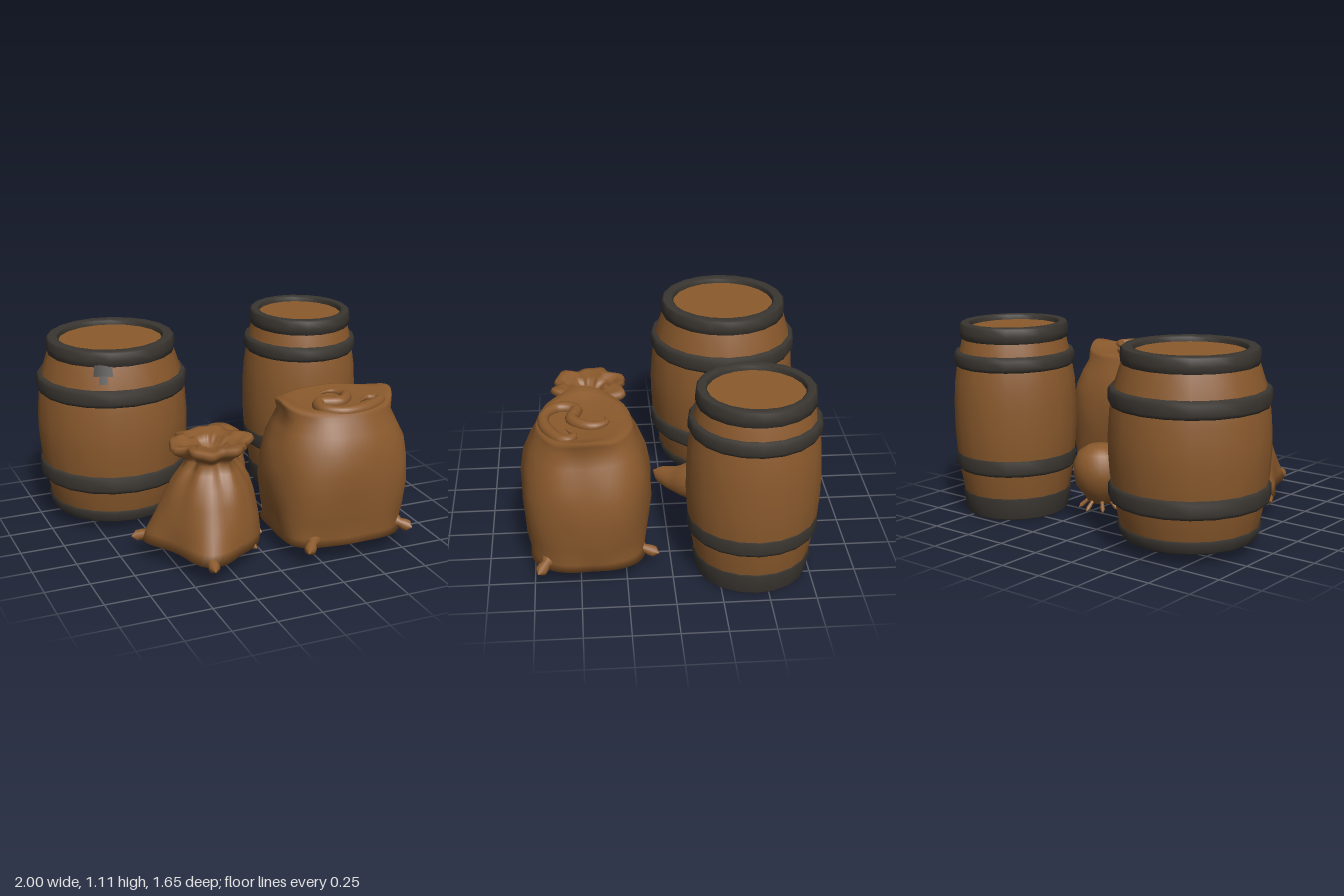
import * as THREE from 'three';

const wood = new THREE.MeshStandardMaterial({ color: 0x8b5a2d, side: THREE.DoubleSide });
wood.name = 'brown';
const iron = new THREE.MeshStandardMaterial({ color: 0x3a3631, side: THREE.DoubleSide });
iron.name = 'dark iron';

const V = (x, y, z) => new THREE.Vector3(x, y, z);

function add(parent, name, geometry, material) {
  const mesh = new THREE.Mesh(geometry, material);
  mesh.name = name;
  parent.add(mesh);
  return mesh;
}

// Revolved profile of [radius, height] pairs
function lathe(profile, start = 0, length = Math.PI * 2, sides = 20) {
  return new THREE.LatheGeometry(profile.map(p => new THREE.Vector2(...p)), sides, start, length);
}

// Closed skin through rings; at(level, angle) gives each point
function loft(levels, at, sides = 72) {
  const pos = [], index = [];
  levels.forEach((level, i) => {
    for (let j = 0; j < sides; j++) {
      pos.push(...at(level, j / sides * Math.PI * 2));
      if (i === levels.length - 1) continue;
      const a = i * sides + j, b = i * sides + (j + 1) % sides;
      index.push(a, a + sides, b, b, a + sides, b + sides);
    }
  });
  const g = new THREE.BufferGeometry();
  g.setAttribute('position', new THREE.Float32BufferAttribute(pos, 3));
  g.setIndex(index);
  g.computeVertexNormals();
  return g;
}

// Round strand whose thickness follows the list of radii; flat squashes its height
function strand(points, radii, seg = 20) {
  const curve = new THREE.CatmullRomCurve3(points);
  const g = new THREE.TubeGeometry(curve, seg, 1, 14);
  const p = g.attributes.position, v = V();
  for (let i = 0; i < p.count; i++) {
    const t = Math.floor(i / 15) / seg, f = t * (radii.length - 1);
    const k = Math.min(Math.floor(f), radii.length - 2);
    const r = THREE.MathUtils.lerp(radii[k], radii[k + 1], f - k);
    const c = curve.getPointAt(t);
    v.fromBufferAttribute(p, i).sub(c).multiplyScalar(r).add(c);
    p.setXYZ(i, v.x, v.y, v.z);
  }
  return g;
}

// Gathered sack corner, from the body out to a flared tip
function corner(parent, from, to, size) {
  const mid = from.clone().lerp(to, 0.6);
  add(parent, 'sackCorner', strand([from, mid, to],
    [size * 1.9, size * 1.2, size * 0.7, size * 0.9, size * 0.9, 0.001]), wood);
}

function barrel(name, { x, z, y0, y1, stretch, rim, foot, lid, hoopR, staves, hoops, feet }) {
  const group = new THREE.Group();
  group.name = name;
  group.position.set(x, 0, z);
  group.scale.z = stretch;
  // staves with bulging sides, then the two recessed heads
  add(group, 'staves', lathe(staves), wood);
  add(group, 'lid', lathe([[lid + 0.02, y1 - 0.03], [0.001, y1 - 0.03]]), wood);
  add(group, 'base', lathe([[0.001, y0 + 0.03], [foot - 0.05, y0 + 0.03]]), wood);
  // end bands
  add(group, 'topBand', lathe([[rim - 0.02, y1 - 0.1], [rim, y1 - 0.085], [rim + 0.004, y1 - 0.05],
    [rim, y1 - 0.008], [rim - 0.01, y1], [lid + 0.01, y1], [lid, y1 - 0.008], [lid, y1 - 0.04]]), iron);
  add(group, 'bottomBand', lathe([[foot - 0.06, y0 + 0.04], [foot - 0.055, y0], [foot - 0.01, y0],
    [foot, y0 + 0.01], [foot + 0.022, feet - 0.01], [foot, feet]]), iron);
  // middle hoops
  for (const [a, b] of hoops) {
    add(group, 'hoop', lathe([[hoopR - 0.045, a], [hoopR - 0.012, a], [hoopR, a + 0.02],
      [hoopR, b - 0.02], [hoopR - 0.012, b], [hoopR - 0.045, b]]), iron);
  }
  return group;
}

function largeSack() {
  const group = new THREE.Group();
  group.name = 'largeSack';
  // height, half width, half depth, squareness, ear lift
  const levels = [
    [0.09, 0.001, 0.001, 2, 0], [0.085, 0.3, 0.27, 3.5, 0], [0.1, 0.36, 0.315, 3.8, 0],
    [0.14, 0.355, 0.31, 3.4, 0], [0.24, 0.38, 0.33, 3, 0], [0.4, 0.402, 0.352, 2.6, 0],
    [0.52, 0.398, 0.352, 2.5, 0], [0.63, 0.375, 0.335, 2.5, 0], [0.72, 0.335, 0.3, 2.5, 0],
    [0.78, 0.312, 0.27, 2.3, 0.015], [0.815, 0.335, 0.262, 2, 0.04], [0.835, 0.33, 0.25, 2, 0.04],
    [0.845, 0.27, 0.215, 2.1, 0.01], [0.83, 0.2, 0.17, 2, 0], [0.835, 0.001, 0.001, 2, 0],
  ];
  add(group, 'largeSackBody', loft(levels, ([y, rx, rz, n, lift], t) => {
    const c = Math.cos(t), s = Math.sin(t);
    const r = (Math.abs(c) ** n + Math.abs(s) ** n) ** (-1 / n);
    const w = 1 + 0.012 * Math.sin(5 * t + y * 9) + 0.008 * Math.sin(9 * t - y * 14);
    return [0.443 + rx * r * w * c, y + lift * Math.abs(c) ** 8, 0.455 + rz * r * w * s];
  }), wood);
  // rolled fold on the closed top
  const fold = [[0.42, 0.34], [0.49, 0.34], [0.53, 0.42], [0.45, 0.52], [0.33, 0.5], [0.31, 0.6],
    [0.4, 0.67], [0.55, 0.65], [0.67, 0.56], [0.62, 0.51], [0.55, 0.55]];
  add(group, 'topFold', strand(fold.map(([x, z]) => V(x, 0.838, z)),
    [0.005, 0.03, 0.035, 0.035, 0.03, 0.035, 0.03, 0.005], 60), wood);
  // corners on the ground
  corner(group, V(0.22, 0.14, 0.7), V(0.14, 0.1, 0.8), 0.036);
  corner(group, V(0.72, 0.15, 0.66), V(0.82, 0.105, 0.73), 0.036);
  corner(group, V(0.62, 0.14, 0.2), V(0.67, 0.11, 0.07), 0.034);
  corner(group, V(0.22, 0.14, 0.22), V(0.15, 0.11, 0.14), 0.034);
  return group;
}

function smallSack() {
  const group = new THREE.Group();
  group.name = 'smallSack';
  const corners = [3.5, 1.94, 5.7];
  // height, radius, corner pull, ruffle
  const levels = [
    [0.1, 0.001, 0, 0], [0.09, 0.2, 0.08, 0], [0.11, 0.27, 0.11, 0], [0.17, 0.272, 0.085, 0],
    [0.27, 0.26, 0.045, 0], [0.38, 0.235, 0.02, 0.004], [0.47, 0.205, 0.005, 0.006],
    [0.54, 0.16, 0, 0.01], [0.585, 0.13, 0, 0.012], [0.615, 0.15, 0, 0.015], [0.645, 0.195, 0, 0.02],
    [0.67, 0.215, 0, 0.022], [0.69, 0.205, 0, 0.02], [0.695, 0.165, 0, 0.018], [0.67, 0.13, 0, 0.015],
    [0.685, 0.105, 0, 0.012], [0.66, 0.08, 0, 0.008], [0.63, 0.05, 0, 0], [0.63, 0.001, 0, 0],
  ];
  add(group, 'smallSackBody', loft(levels, ([y, r, pull, ruffle], t) => {
    let q = r;
    for (const a of corners) {
      const d = Math.atan2(Math.sin(t - a), Math.cos(t - a));
      q += pull * Math.exp(-((d / 0.42) ** 2));
    }
    q += ruffle * (Math.sin(6 * t + 1) + 0.5 * Math.sin(11 * t));
    const up = y > 0.6 ? ruffle * 0.5 * Math.sin(5 * t + 2) : 0;
    return [-0.275 + q * Math.cos(t), y + up, 0.415 + q * Math.sin(t)];
  }), wood);
  // gathered corners
  corner(group, V(-0.54, 0.15, 0.31), V(-0.68, 0.11, 0.24), 0.034);
  corner(group, V(-0.39, 0.15, 0.69), V(-0.41, 0.105, 0.82), 0.034);
  corner(group, V(-0.06, 0.15, 0.27), V(0.02, 0.12, 0.17), 0.032);
  corner(group, V(-0.42, 0.15, 0.23), V(-0.47, 0.11, 0.11), 0.03);
  corner(group, V(-0.07, 0.13, 0.43), V(0.015, 0.105, 0.46), 0.028);
  corner(group, V(-0.13, 0.13, 0.56), V(-0.09, 0.1, 0.63), 0.018);
  return group;
}

function pouch() {
  const group = new THREE.Group();
  group.name = 'pouch';
  // rounded head
  const head = add(group, 'pouchHead', lathe([[0.001, 0.12], [0.07, 0.12], [0.1, 0.17], [0.14, 0.22],
    [0.155, 0.29], [0.152, 0.35], [0.125, 0.41], [0.07, 0.445], [0.001, 0.455]], 0, Math.PI * 2, 28), wood);
  head.position.set(0.09, 0, -0.35);
  // tapering tail along the ground
  add(group, 'pouchTail', strand([V(0.09, 0.24, -0.33), V(0.06, 0.2, -0.2), V(-0.05, 0.145, -0.09),
    V(-0.14, 0.125, -0.01), V(-0.225, 0.11, 0.045)], [0.14, 0.135, 0.115, 0.09, 0.07, 0.05, 0.001], 30), wood);
  // frayed ends under the head
  for (let i = 0; i < 5; i++) {
    const a = Math.PI + i * 0.8, c = Math.cos(a), s = Math.sin(a);
    corner(group, V(0.09 + 0.05 * c, 0.15, -0.35 + 0.05 * s),
      V(0.09 + 0.125 * c, 0.085, -0.35 + 0.125 * s), 0.014);
  }
  return group;
}

export function createModel() {
  const model = new THREE.Group();
  model.name = 'barrelsAndSacks';

  const wide = barrel('wideBarrel', {
    x: -0.565, z: -0.4, y0: 0.07, y1: 1.09, stretch: 1, rim: 0.366, foot: 0.368, lid: 0.3,
    hoopR: 0.434, hoops: [[0.27, 0.37], [0.785, 0.88]], feet: 0.145,
    staves: [[0.36, 0.1], [0.378, 0.15], [0.405, 0.27], [0.425, 0.4], [0.434, 0.53], [0.434, 0.62],
      [0.425, 0.75], [0.403, 0.88], [0.365, 1.0], [0.35, 1.05]],
  });
  // tar drip below the top band
  add(wide, 'drip', lathe([[0.383, 0.955], [0.362, 1.02]], -0.56, 0.28, 6), iron);
  add(wide, 'dripTip', lathe([[0.4, 0.915], [0.383, 0.96]], -0.47, 0.12, 4), iron);
  model.add(wide);

  model.add(barrel('slimBarrel', {
    x: 0.655, z: -0.435, y0: 0.005, y1: 1.11, stretch: 1.05, rim: 0.3, foot: 0.287, lid: 0.247,
    hoopR: 0.338, hoops: [[0.27, 0.375], [0.865, 0.95]], feet: 0.14,
    staves: [[0.28, 0.05], [0.3, 0.14], [0.322, 0.27], [0.338, 0.4], [0.345, 0.52], [0.345, 0.66],
      [0.338, 0.78], [0.32, 0.9], [0.295, 1.01], [0.28, 1.06]],
  }));

  model.add(largeSack(), smallSack(), pouch());
  return model;
}
